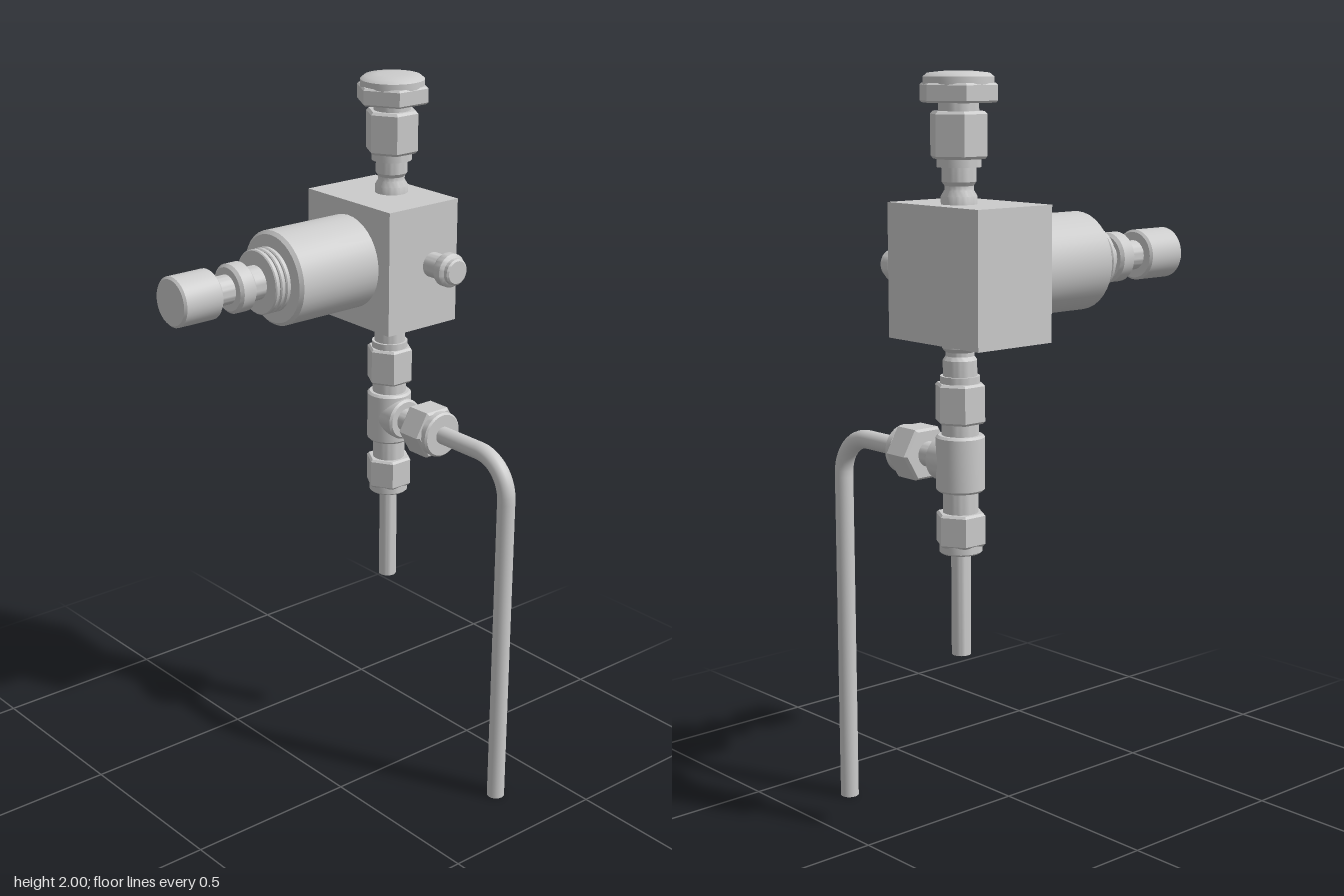
import * as THREE from 'three';
import { toCreasedNormals } from 'three/addons/utils/BufferGeometryUtils.js';

const X = -0.171, Z = -0.32;      // vertical pipe axis
const VALVE_Y = 1.513, TEE_Y = 1.035;

export function createModel() {
  const model = new THREE.Group();
  const material = new THREE.MeshStandardMaterial({ color: 0xcccccc });

  const add = (name, geometry) => {
    const mesh = new THREE.Mesh(geometry, material);
    mesh.name = name;
    model.add(mesh);
    return mesh;
  };

  // Turned part from [radius, position] pairs along its axis, closed at both ends
  const turned = (name, axis, profile, sides = 36) => {
    const first = profile[0][1], last = profile[profile.length - 1][1];
    const pts = [[0, first], ...profile, [0, last]].map(([r, t]) => new THREE.Vector2(r, t));
    const mesh = add(name, toCreasedNormals(new THREE.LatheGeometry(pts, sides), 0.6));
    if (axis === 'y') mesh.position.set(X, 0, Z);
    if (axis === 'x') mesh.rotation.z = -Math.PI / 2;
    if (axis === 'z') mesh.rotation.x = Math.PI / 2;
    return mesh;
  };

  // Bevelled cylinder or hexagon between two positions
  const bevelled = (name, axis, r, a, b, bevel = 0.008, sides = 36) =>
    turned(name, axis, [[r - bevel, a], [r, a + bevel], [r, b - bevel], [r - bevel, b]], sides);

  // Valve block
  add('valveBlock', new THREE.BoxGeometry(0.34, 0.34, 0.242)).position.set(X + 0.001, 1.51, -0.287);

  // Fitting above the block, with hexagonal cap
  turned('topNeck', 'y', [[0.045, 1.67], [0.045, 1.7], [0.036, 1.715], [0.036, 1.725],
    [0.043, 1.735], [0.043, 1.77], [0.055, 1.77], [0.055, 1.8]]);
  bevelled('topNut', 'y', 0.074, 1.79, 1.905, 0.007, 6);
  turned('capStem', 'y', [[0.05, 1.9], [0.05, 1.93]]);
  bevelled('capHex', 'y', 0.101, 1.925, 1.972, 0.005, 6);
  turned('capTop', 'y', [[0.087, 1.965], [0.087, 1.987], [0.076, 1.996], [0.04, 2]]);

  // Fitting below the block
  turned('lowerNeck', 'y', [[0.045, 1.35], [0.045, 1.325], [0.036, 1.315], [0.036, 1.305],
    [0.043, 1.295], [0.043, 1.255], [0.05, 1.255], [0.05, 1.23]].reverse());
  bevelled('upperTeeNut', 'y', 0.066, 1.135, 1.237, 0.006, 6);
  turned('upperTeeCollar', 'y', [[0.047, 1.1], [0.047, 1.14]]);

  // Tee body with side boss
  bevelled('teeBody', 'y', 0.062, 0.96, 1.105, 0.006);
  bevelled('teeBoss', 'x', 0.058, X, -0.097, 0.006).position.set(0, TEE_Y, Z);
  turned('teeSideNeck', 'x', [[0.033, -0.11], [0.033, -0.04]]).position.set(0, TEE_Y, Z);
  bevelled('teeSideNut', 'x', 0.076, -0.045, 0.038, 0.007, 6).position.set(0, TEE_Y, Z);
  bevelled('teeSideNutEnd', 'x', 0.064, 0.03, 0.057, 0.005).position.set(0, TEE_Y, Z);

  // Lower outlet and short straight tube
  turned('outletNeck', 'y', [[0.045, 0.89], [0.045, 0.965]]);
  bevelled('outletNut', 'y', 0.066, 0.82, 0.905, 0.006, 6);
  bevelled('outletNutEnd', 'y', 0.055, 0.8, 0.83, 0.004);
  turned('straightTube', 'y', [[0.025, 0.53], [0.025, 0.81]]);

  // Bent side tube: straight run, quarter bend, long drop
  const bendX = 0.313, bendR = 0.11, v = (x, y) => new THREE.Vector3(x, y, Z);
  const bend = [];
  for (let i = 0; i <= 12; i++) {
    const a = Math.PI / 2 * (1 - i / 12);
    bend.push(v(bendX - bendR + bendR * Math.cos(a), TEE_Y - bendR + bendR * Math.sin(a)));
  }
  const path = new THREE.CurvePath();
  path.add(new THREE.LineCurve3(v(0.04, TEE_Y), bend[0]));
  path.add(new THREE.CatmullRomCurve3(bend));
  path.add(new THREE.LineCurve3(bend[12], v(bendX, 0)));
  add('bentTube', new THREE.TubeGeometry(path, 140, 0.025, 20));
  const end = add('bentTubeEnd', new THREE.CircleGeometry(0.025, 20));
  end.rotation.x = Math.PI / 2;
  end.position.set(bendX, 0.001, Z);

  // Small port on the side of the block
  turned('sidePort', 'x', [[0.034, -0.01], [0.034, 0.05], [0.042, 0.05], [0.046, 0.056],
    [0.046, 0.077], [0.04, 0.083], [0.036, 0.085], [0.036, 0.096], [0.031, 0.1]])
    .position.set(0, VALVE_Y, Z);

  // Valve bonnet, threaded collar, stem and knob
  const front = (mesh) => mesh.position.set(X, VALVE_Y, 0);
  front(bevelled('bonnet', 'z', 0.128, -0.175, 0.095, 0.009));
  front(turned('collarCore', 'z', [[0.078, 0.09], [0.078, 0.143]]));
  for (let i = 0; i < 3; i++) {
    const z = 0.096 + i * 0.0175;
    front(bevelled('collarThread', 'z', 0.087, z, z + 0.0145, 0.003));
  }
  front(turned('stem', 'z', [[0.046, 0.14], [0.046, 0.2], [0.039, 0.2], [0.039, 0.3]]));
  front(bevelled('stemRing', 'z', 0.066, 0.188, 0.24));
  front(bevelled('knob', 'z', 0.067, 0.296, 0.418, 0.006));

  return model;
}
